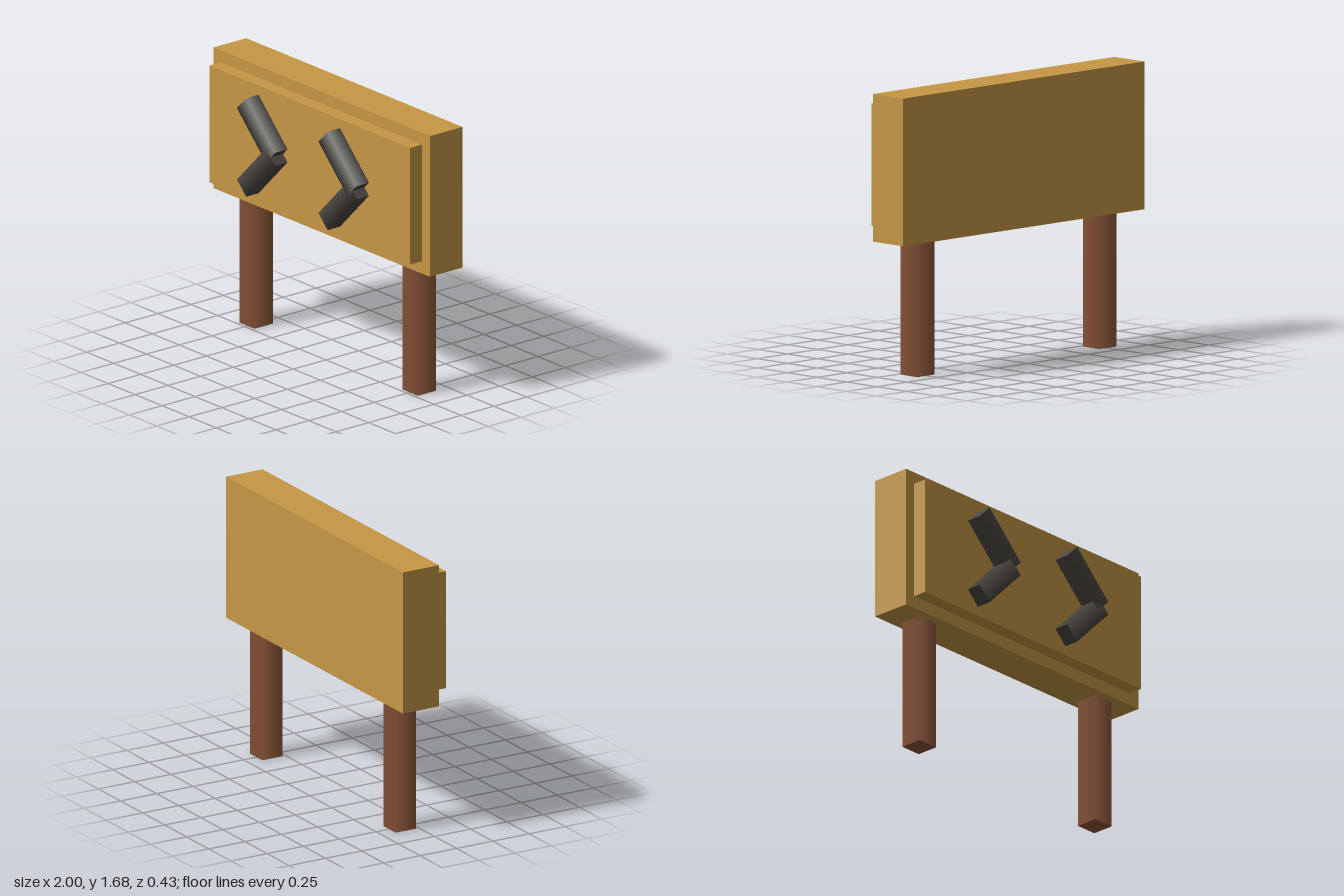
import * as THREE from 'three';

export function createModel() {
  const model = new THREE.Group();
  model.name = 'directionSign';

  const material = (name, color) => {
    const m = new THREE.MeshStandardMaterial({ color });
    m.name = name;
    return m;
  };
  const goldWood = material('goldWood', 0xc69746);
  const brownWood = material('brownWood', 0x8a5539);
  const charcoal = material('charcoal', 0x4a453f);

  const add = (name, geometry, mat, x, y, z, tilt = 0) => {
    const mesh = new THREE.Mesh(geometry, mat);
    mesh.name = name;
    mesh.position.set(x, y, z);
    mesh.rotation.z = tilt;
    model.add(mesh);
  };

  // Four-sided bar with soft side normals and flat ends
  const squareBar = (width, length) =>
    new THREE.CylinderGeometry(width / Math.SQRT2, width / Math.SQRT2, length, 4).rotateY(Math.PI / 4);

  // Board and the raised panel on its front
  add('board', new THREE.BoxGeometry(2, 0.88, 0.25), goldWood, 0, 1.245, -0.092);
  add('frontPanel', new THREE.BoxGeometry(1.856, 0.73, 0.1), goldWood, -0.002, 1.246, 0.071);

  // Posts
  const post = squareBar(0.14, 0.82);
  add('leftPost', post, brownWood, 0.755, 0.41, -0.09);
  add('rightPost', post, brownWood, -0.755, 0.41, -0.09);

  // Two chevrons pointing to +x
  const bar = squareBar(0.12, 0.378);
  [['right', -0.385], ['left', 0.368]].forEach(([side, x]) => {
    add(side + 'ChevronUpperBar', bar, charcoal, x, 1.378, 0.156, Math.PI / 4);
    add(side + 'ChevronLowerBar', bar, charcoal, x, 1.114, 0.156, -Math.PI / 4);
  });

  return model;
}
